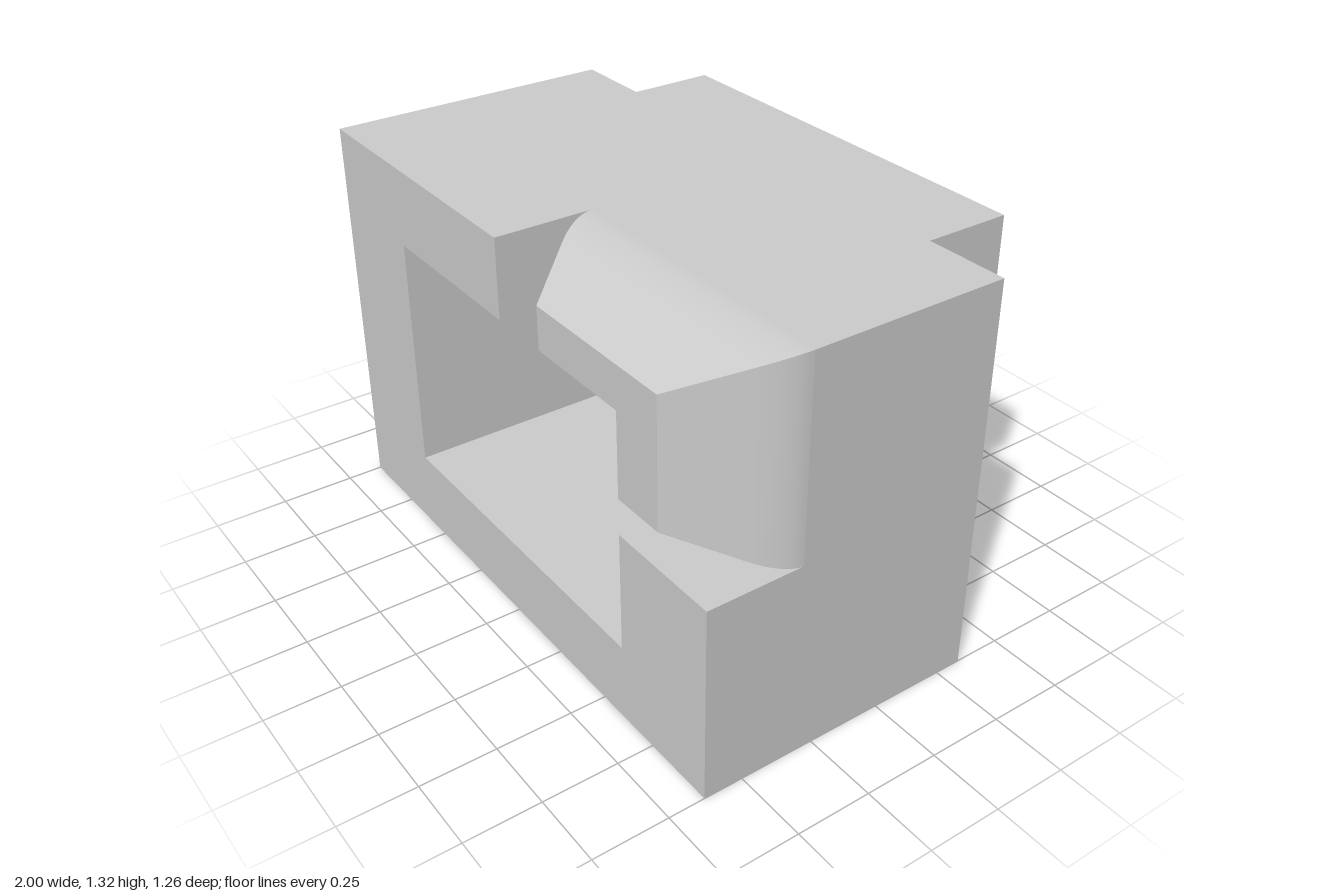
import * as THREE from 'three';
import { toCreasedNormals } from 'three/addons/utils/BufferGeometryUtils.js';

const W = 1, H = 1.32, BACK = -0.34, STEP = 0.31, FRONT = 0.63;
const win = { x: 0.6, y0: 0.26, y1: 1.06 };
const toShape = (pts) => new THREE.Shape(pts.map(([x, y]) => new THREE.Vector2(x, y)));

export function createModel() {
  const group = new THREE.Group();
  const material = new THREE.MeshStandardMaterial({ color: 0xcccccc });
  const add = (name, geometry, z = 0) => {
    const mesh = new THREE.Mesh(geometry, material);
    mesh.name = name;
    mesh.position.z = z;
    group.add(mesh);
    return mesh;
  };
  const extrude = (shape, depth) => new THREE.ExtrudeGeometry(shape, { depth, bevelEnabled: false });

  // Main frame with a rectangular window right through it
  const frame = toShape([[-W, 0], [W, 0], [W, H], [-W, H]]);
  frame.holes.push(toShape([[-win.x, win.y0], [-win.x, win.y1], [win.x, win.y1], [win.x, win.y0]]));
  add('rearFrame', extrude(frame, STEP - BACK), BACK);

  // Front slab, with its upper corner on the +x side left out
  const slab = toShape([
    [-W, 0], [W, 0], [W, 0.66], [win.x, 0.66], [win.x, win.y0], [-win.x, win.y0],
    [-win.x, win.y1], [0, win.y1], [0, H], [-W, H],
  ]);
  add('frontFrame', extrude(slab, FRONT - STEP), STEP);

  // Lip block along the top of the back
  add('backLip', new THREE.BoxGeometry(1.44, H - 1.03, 0.29), -0.485).position.y = (H + 1.03) / 2;

  // Corner boss: L-shaped sections that curve inward, then taper straight to the front
  const section = (t) => {
    const left = 0.215 * t, right = W - 0.215 * t, top = H - 0.12 * t, bottom = 0.66 + 0.12 * t;
    return [[left, win.y1], [left, top], [right, top], [right, bottom], [win.x, bottom], [win.x, win.y1]];
  };
  // Curved part: fraction of depth u, fraction of inset t; slope matches the straight taper at u = 0.5
  const rings = [];
  for (let i = 0; i <= 10; i++) {
    const s = i / 10, u = 0.5 * s;
    rings.push([u, 0.385 * s ** 1.7]);
  }
  rings.push([1, 1]);
  const positions = [], index = [];
  rings.forEach(([u, t], i) => {
    for (const [x, y] of section(t)) positions.push(x, y, STEP + u * (FRONT - STEP));
    if (i === 0) return;
    for (let j = 0; j < 6; j++) {
      const k = (j + 1) % 6;
      const a = (i - 1) * 6 + j, b = (i - 1) * 6 + k, c = i * 6 + j, d = i * 6 + k;
      index.push(a, c, b, b, c, d);
    }
  });
  const boss = new THREE.BufferGeometry();
  boss.setAttribute('position', new THREE.Float32BufferAttribute(positions, 3));
  boss.setIndex(index);
  add('cornerBossSides', toCreasedNormals(boss, 0.5));
  add('cornerBossFace', new THREE.ShapeGeometry(toShape(section(1))), FRONT);

  return group;
}
